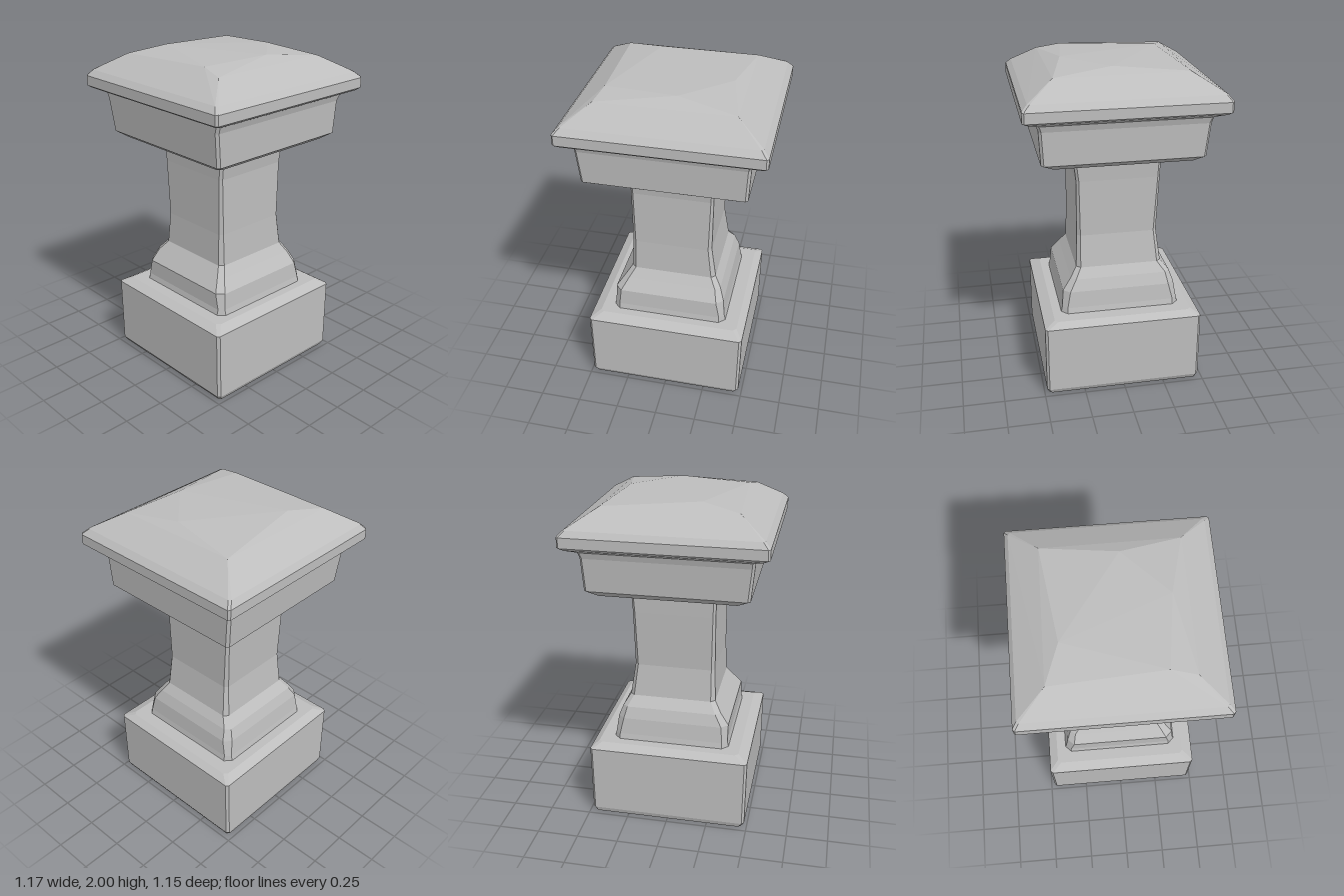
import * as THREE from 'three';
import { ConvexGeometry } from 'three/addons/geometries/ConvexGeometry.js';

const stone = new THREE.MeshStandardMaterial({ color: 0xbdbdbd, flatShading: true });
stone.name = 'grey stone';

// Square outline with clipped corners: x0, x1, z0, z1 are the sides, c the clip
function ring([y, x0, x1, z0, z1, c]) {
  return [
    [x1 - c, y, z1], [x1, y, z1 - c], [x1, y, z0 + c], [x1 - c, y, z0],
    [x0 + c, y, z0], [x0, y, z0 + c], [x0, y, z1 - c], [x0 + c, y, z1],
  ];
}

// Joins outlines from bottom to top and closes both ends
function loft(name, rows) {
  const rings = rows.map(ring), pos = [];
  const tri = (a, b, c) => pos.push(...a, ...b, ...c);
  for (let r = 0; r < rings.length - 1; r++) {
    for (let i = 0; i < 8; i++) {
      const j = (i + 1) % 8, lo = rings[r], hi = rings[r + 1];
      tri(lo[i], lo[j], hi[j]);
      tri(lo[i], hi[j], hi[i]);
    }
  }
  const bottom = rings[0], top = rings[rings.length - 1];
  for (let i = 1; i < 7; i++) {
    tri(bottom[0], bottom[i + 1], bottom[i]);
    tri(top[0], top[i], top[i + 1]);
  }
  const g = new THREE.BufferGeometry();
  g.setAttribute('position', new THREE.Float32BufferAttribute(pos, 3));
  g.computeVertexNormals();
  const mesh = new THREE.Mesh(g, stone);
  mesh.name = name;
  return mesh;
}

export function createModel() {
  const group = new THREE.Group();
  group.name = 'stonePillar';

  // Plinth block with worn upper edge
  group.add(loft('plinth', [
    [0.0, -0.465, 0.465, -0.465, 0.47, 0.015],
    [0.03, -0.485, 0.48, -0.475, 0.485, 0.015],
    [0.455, -0.49, 0.485, -0.475, 0.485, 0.015],
    [0.485, -0.43, 0.44, -0.42, 0.42, 0.02],
  ]));

  // Flared foot running up into the shaft
  group.add(loft('shaft', [
    [0.475, -0.36, 0.36, -0.365, 0.37, 0.04],
    [0.52, -0.35, 0.35, -0.355, 0.36, 0.03],
    [0.62, -0.35, 0.338, -0.34, 0.35, 0.04],
    [0.69, -0.3, 0.31, -0.315, 0.3, 0.03],
    [0.75, -0.258, 0.272, -0.265, 0.26, 0.025],
    [0.95, -0.25, 0.243, -0.24, 0.25, 0.02],
    [1.3, -0.252, 0.248, -0.255, 0.25, 0.015],
    [1.47, -0.258, 0.258, -0.262, 0.27, 0.015],
  ]));

  // Block beneath the cap, wider towards the top
  group.add(loft('capital', [
    [1.452, -0.42, 0.42, -0.42, 0.42, 0.02],
    [1.49, -0.475, 0.475, -0.465, 0.475, 0.015],
    [1.69, -0.495, 0.485, -0.485, 0.485, 0.015],
    [1.74, -0.5, 0.5, -0.5, 0.5, 0.015],
  ]));

  // Overhanging rim
  group.add(loft('capRim', [
    [1.715, -0.47, 0.47, -0.47, 0.47, 0.02],
    [1.755, -0.56, 0.56, -0.56, 0.56, 0.015],
    [1.77, -0.583, 0.583, -0.575, 0.578, 0.012],
    [1.83, -0.583, 0.583, -0.575, 0.578, 0.012],
    [1.865, -0.552, 0.55, -0.55, 0.545, 0.012],
  ]));

  // Faceted sloping top with an uneven plateau
  const crown = [
    ...ring([1.835, -0.58, 0.58, -0.573, 0.576, 0.012]),
    ...ring([1.865, -0.552, 0.55, -0.55, 0.545, 0.012]),
    [-0.4, 1.965, -0.39], [0.385, 1.965, -0.38], [0.39, 1.96, 0.39], [-0.4, 1.96, 0.395],
    [-0.18, 2, -0.305], [0.315, 1.995, 0.05], [0.05, 2, 0.305], [-0.37, 1.988, 0.25],
  ].map((p) => new THREE.Vector3(...p));
  const crownMesh = new THREE.Mesh(new ConvexGeometry(crown), stone);
  crownMesh.name = 'capCrown';
  group.add(crownMesh);

  return group;
}
